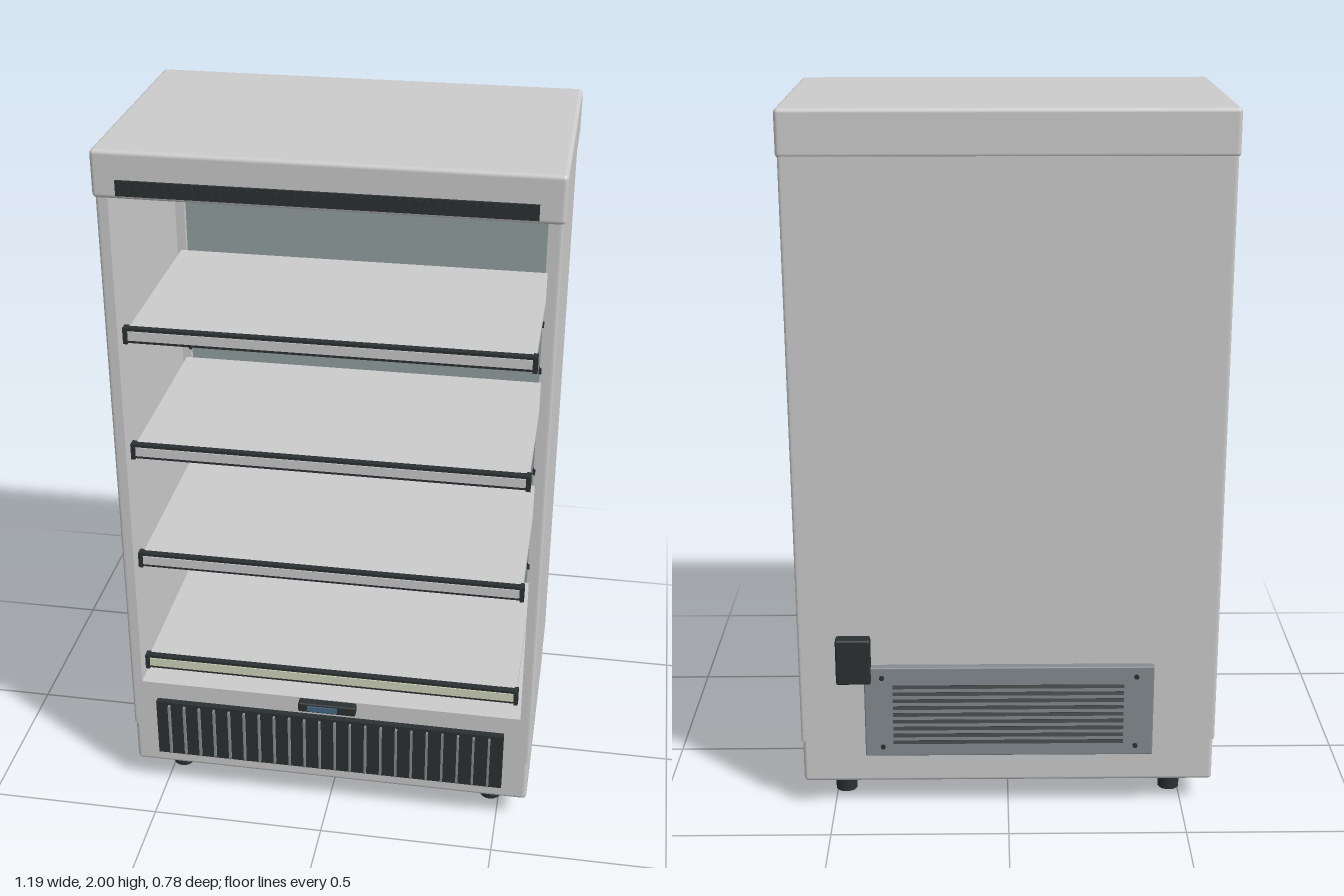
import * as THREE from 'three';
import { RoundedBoxGeometry } from 'three/addons/geometries/RoundedBoxGeometry.js';

const mat = (color) => new THREE.MeshStandardMaterial({ color });
const GREY = mat(0xcccccc), DARK = mat(0x2b3032), TEAL = mat(0x93a1a1);
const STEEL = mat(0x858b90), TAG = mat(0xd2d6bc), SCREEN = mat(0x466a85), LAMP = mat(0xf2f2ea);

// Box given by its extents on each axis; r rounds the edges
function box(parent, name, [x0, x1], [y0, y1], [z0, z1], material = GREY, r = 0) {
  const s = [x1 - x0, y1 - y0, z1 - z0];
  const geo = r ? new RoundedBoxGeometry(...s, 3, r) : new THREE.BoxGeometry(...s);
  const m = new THREE.Mesh(geo, material);
  m.position.set((x0 + x1) / 2, (y0 + y1) / 2, (z0 + z1) / 2);
  m.name = name;
  parent.add(m);
  return m;
}

function group(parent, name) {
  const g = new THREE.Group();
  g.name = name;
  parent.add(g);
  return g;
}

// Plan outline of the cabinet with rounded corners; inner = [half width, back z] opens it to the front
function plan(inner) {
  const w = 0.59, f = 0.36, b = -0.355, r = 0.01;
  const s = new THREE.Shape();
  const p = (x, z) => [x, -z];
  s.moveTo(...p(w - r, f));
  s.quadraticCurveTo(...p(w, f), ...p(w, f - r));
  s.lineTo(...p(w, b + r));
  s.quadraticCurveTo(...p(w, b), ...p(w - r, b));
  s.lineTo(...p(-w + r, b));
  s.quadraticCurveTo(...p(-w, b), ...p(-w, b + r));
  s.lineTo(...p(-w, f - r));
  s.quadraticCurveTo(...p(-w, f), ...p(-w + r, f));
  if (inner) {
    const [iw, ib] = inner;
    s.lineTo(...p(-iw, f));
    s.lineTo(...p(-iw, ib));
    s.lineTo(...p(iw, ib));
    s.lineTo(...p(iw, f));
  }
  s.closePath();
  return s;
}

function prism(parent, name, shape, y0, y1) {
  const geo = new THREE.ExtrudeGeometry(shape, { depth: y1 - y0, bevelEnabled: false, curveSegments: 4 });
  geo.rotateX(-Math.PI / 2);
  const m = new THREE.Mesh(geo, GREY);
  m.position.y = y0;
  m.name = name;
  parent.add(m);
}

export function createModel() {
  const model = new THREE.Group();
  model.name = 'openDisplayFridge';

  // Cabinet shell
  const cabinet = group(model, 'cabinet');
  prism(cabinet, 'walls', plan([0.557, -0.275]), 0.37, 1.88);
  prism(cabinet, 'machineHousing', plan(), 0.215, 0.37);
  box(cabinet, 'base', [-0.587, 0.587], [0.08, 0.26], [-0.344, 0.359], GREY, 0.012);
  box(cabinet, 'topCap', [-0.595, 0.595], [1.873, 2], [-0.357, 0.372], GREY, 0.012);

  // Interior
  const interior = group(model, 'interior');
  box(interior, 'backPanel', [-0.555, 0.555], [0.37, 1.873], [-0.276, -0.268], TEAL);
  box(interior, 'lamp', [-0.455, 0.455], [1.852, 1.875], [0.27, 0.3], LAMP);
  for (const s of [-1, 1]) {
    box(interior, 'shelfUpright', [s * 0.54 - 0.013, s * 0.54 + 0.013], [0.39, 1.85], [-0.269, -0.25]);
    for (const y of [0.5, 0.84, 1.18, 1.33, 1.68])
      box(interior, 'uprightSlot', [s * 0.528 - 0.004, s * 0.528 + 0.004], [y - 0.01, y + 0.01], [-0.26, -0.248], DARK);
  }

  // Tapered bracket profile, drawn in z (first) and y (second) below the shelf
  const bracketShape = new THREE.Shape([
    [-0.25, 0], [0.28, 0], [0.28, -0.02], [-0.2, -0.09], [-0.22, -0.125], [-0.25, -0.125],
  ].map(([z, y]) => new THREE.Vector2(z, y)));
  const bracketGeo = new THREE.ExtrudeGeometry(bracketShape, { depth: 0.012, bevelEnabled: false });
  bracketGeo.rotateY(-Math.PI / 2);
  bracketGeo.translate(0.006, 0, 0);

  // Shelves with ticket rails
  [0.435, 0.787, 1.137, 1.485].forEach((y, i) => {
    const shelf = group(model, 'shelf');
    box(shelf, 'shelfPlate', [-0.54, 0.54], [y - 0.014, y + 0.008], [-0.245, 0.335]);
    box(shelf, 'ticketRail', [-0.545, 0.545], [y - 0.021, y + 0.021], [0.328, 0.346], DARK);
    box(shelf, 'ticketStrip', [-0.533, 0.533], [y - 0.013, y + 0.013], [0.34, 0.349], i ? GREY : TAG);
    for (const s of [-1, 1]) {
      box(shelf, 'railEnd', [s * 0.54 - 0.006, s * 0.54 + 0.006], [y - 0.023, y + 0.023], [0.325, 0.351], DARK);
      if (i) {
        const b = new THREE.Mesh(bracketGeo, DARK);
        b.position.set(s * 0.515, y - 0.012, 0);
        b.name = 'shelfBracket';
        shelf.add(b);
      } else {
        box(shelf, 'shelfSupport', [s * 0.515 - 0.007, s * 0.515 + 0.007], [0.37, y - 0.01], [-0.24, 0.28], DARK);
      }
    }
  });

  // Upper air vent
  const vent = group(model, 'topVent');
  box(vent, 'ventPanel', [-0.53, 0.53], [1.885, 1.925], [0.365, 0.38], DARK);
  for (let i = 0; i <= 44; i++) {
    const x = -0.52 + (i * 1.04) / 44;
    box(vent, 'ventFin', [x - 0.003, x + 0.003], [1.889, 1.921], [0.378, 0.388], DARK);
  }

  // Lower grille
  const grille = group(model, 'lowerGrille');
  box(grille, 'grillePanel', [-0.513, 0.513], [0.13, 0.315], [0.355, 0.379], DARK);
  for (let i = 0; i < 22; i++) {
    const x = -0.473 + (i * 0.946) / 21;
    box(grille, 'grilleFin', [x - 0.003, x + 0.003], [0.138, 0.307], [0.375, 0.391], STEEL);
  }

  // Controller
  const controller = group(model, 'controller');
  box(controller, 'controllerCase', [-0.085, 0.083], [0.338, 0.368], [0.355, 0.386], DARK, 0.005);
  box(controller, 'controllerScreen', [-0.058, 0.03], [0.344, 0.362], [0.38, 0.389], SCREEN);

  // Rear service panel with louvres and screws
  const rear = group(model, 'rearPanel');
  box(rear, 'servicePlate', [-0.41, 0.405], [0.18, 0.455], [-0.378, -0.352], STEEL, 0.004);
  for (let i = 0; i < 9; i++) {
    const y = 0.225 + i * 0.0215;
    const l = box(rear, 'louvre', [-0.325, 0.325], [y - 0.005, y + 0.005], [-0.386, -0.374], DARK);
    l.rotation.x = 0.4;
  }
  const screwGeo = new THREE.CylinderGeometry(0.007, 0.007, 0.006, 12).rotateX(Math.PI / 2);
  for (const x of [-0.36, 0.355]) for (const y of [0.21, 0.425]) {
    const screw = new THREE.Mesh(screwGeo, DARK);
    screw.position.set(x, y, -0.38);
    screw.name = 'screw';
    rear.add(screw);
  }
  box(model, 'powerBox', [0.385, 0.482], [0.41, 0.545], [-0.393, -0.354], DARK, 0.006);

  // Feet
  const footGeo = new THREE.CylinderGeometry(0.031, 0.031, 0.085, 24);
  for (const x of [-0.475, 0.475]) for (const z of [0.245, -0.23]) {
    const foot = new THREE.Mesh(footGeo, DARK);
    foot.position.set(x, 0.0425, z);
    foot.name = 'foot';
    model.add(foot);
  }
  return model;
}
